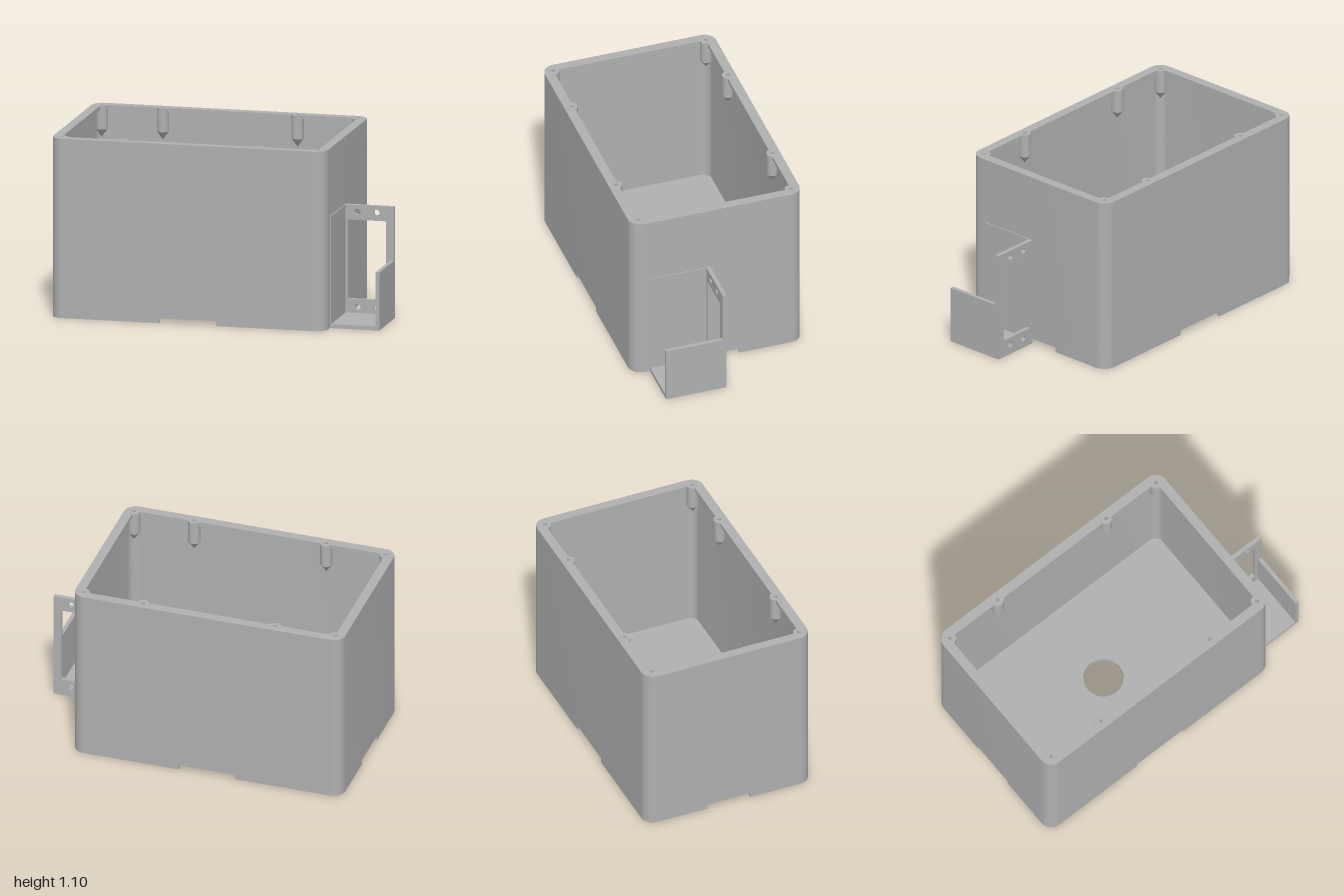
import * as THREE from 'three';
import { toCreasedNormals } from 'three/addons/utils/BufferGeometryUtils.js';

const CX = -0.1525, W = 0.8475, D = 0.54, H = 1.095, R = 0.075; // case centre, half sizes, height, corner radius
const A = 0.79, B = 0.482;                                     // half size of the top opening
const FOOT = 0.03, FLOOR = 0.08, LIP = 0.025, WALL = 0.03;
const BOSS = 0.037, SCREW = 0.012, INSET = 0.011;

const grey = new THREE.MeshStandardMaterial({ color: 0xb0b0b0 });
grey.name = 'plain grey';

function add(parent, name, geometry, x = 0, y = 0, z = 0) {
  const mesh = new THREE.Mesh(geometry, grey);
  mesh.name = name;
  mesh.position.set(x, y, z);
  parent.add(mesh);
  return mesh;
}

function box(parent, name, x0, x1, y0, y1, z0, z1) {
  return add(parent, name, new THREE.BoxGeometry(x1 - x0, y1 - y0, z1 - z0),
    (x0 + x1) / 2, (y0 + y1) / 2, (z0 + z1) / 2);
}

function roundedRect(path, w, d, r) {
  path.absarc(w - r, d - r, r, 0, Math.PI / 2);
  path.absarc(r - w, d - r, r, Math.PI / 2, Math.PI);
  path.absarc(r - w, r - d, r, Math.PI, Math.PI * 1.5);
  path.absarc(w - r, r - d, r, Math.PI * 1.5, Math.PI * 2);
  path.closePath();
  return path;
}

function circle(x, y, r) {
  return new THREE.Path().absarc(x, y, r, 0, Math.PI * 2, true);
}

function extrude(shape, depth) {
  const geometry = new THREE.ExtrudeGeometry(shape, { depth, bevelEnabled: false, curveSegments: 12 });
  return toCreasedNormals(geometry, 0.6);
}

// Horizontal slab with holes between two heights
function slab(parent, name, y0, y1, holes, shape = roundedRect(new THREE.Shape(), W, D, R)) {
  shape.holes.push(...holes);
  return add(parent, name, extrude(shape, y1 - y0).rotateX(-Math.PI / 2), CX, y0, 0);
}

// Opening of the lip, bulging inwards round each screw boss
function lipOpening() {
  const p = new THREE.Path(), q = Math.PI / 2, t = Math.asin(INSET / BOSS);
  p.absarc(A, B, BOSS, -q, -2 * q, true);
  for (const u of [0.415, -0.415]) p.absarc(u, B + INSET, BOSS, -t, t - Math.PI, true);
  p.absarc(-A, B, BOSS, 0, -q, true);
  p.absarc(-A, -B, BOSS, q, 0, true);
  for (const u of [-0.415, 0.415]) p.absarc(u, -B - INSET, BOSS, Math.PI - t, t, true);
  p.absarc(A, -B, BOSS, 2 * q, q, true);
  p.closePath();
  return p;
}

// One corner of the foot rim, running between two cable notches
function footCorner(sx, sz) {
  const t = 0.02, nx = 0.175, nz = 0.14, pts = [[W, nz]];
  const arc = (r, from, to) => {
    for (let i = 0; i <= 8; i++) {
      const a = from + (to - from) * i / 8;
      pts.push([W - R + r * Math.cos(a), D - R + r * Math.sin(a)]);
    }
  };
  arc(R, 0, Math.PI / 2);
  pts.push([nx, D], [nx, D - t]);
  arc(R - t, Math.PI / 2, 0);
  pts.push([W - t, nz]);
  return new THREE.Shape(pts.map(([x, z]) => new THREE.Vector2(sx * x, sz * z)));
}

export function createModel() {
  const model = new THREE.Group();
  model.name = 'enclosure';

  // Case: floor with stepped hole, thin walls, overhanging lip
  slab(model, 'floorUnderside', FOOT, FOOT + 0.015, [circle(0, 0, 0.145)]);
  slab(model, 'floor', FOOT + 0.015, FLOOR, [circle(0, 0, 0.12)]);
  slab(model, 'walls', FLOOR, H - LIP, [roundedRect(new THREE.Path(), W - WALL, D - WALL, R - WALL + 0.01)]);

  // Screw positions at the corners and along the long sides
  const screws = [];
  for (const sz of [-1, 1]) {
    for (const sx of [-1, 1]) screws.push([sx * A, sz * B], [sx * 0.415, sz * (B + INSET)]);
  }
  slab(model, 'lip', H - LIP, H, [lipOpening(), ...screws.map(([x, z]) => circle(x, z, SCREW))]);

  // Hollow screw bosses with pointed ends
  const profile = [[0, -0.17], [BOSS, -0.12], [BOSS, 0], [SCREW, 0], [SCREW, -0.1], [0, -0.1]]
    .map(([x, y]) => new THREE.Vector2(x, y));
  const bossGeometry = toCreasedNormals(new THREE.LatheGeometry(profile, 24), 0.5);
  for (const [x, z] of screws) add(model, 'screwBoss', bossGeometry, CX + x, H - LIP, z);

  // Foot rim and crossed ribs, interrupted by the cable notches
  for (const sx of [-1, 1]) {
    for (const sz of [-1, 1]) {
      slab(model, 'footRim', 0, FOOT, [], footCorner(sx, sz));
      const span = (a, b, s) => (s > 0 ? [a, b] : [-b, -a]);
      const [x0, x1] = span(0.175, W - 0.02, sx), [z0, z1] = span(0.14, D - 0.02, sz);
      box(model, 'longRib', CX + x0, CX + x1, 0, FOOT, sz * 0.28 - 0.01, sz * 0.28 + 0.01);
      box(model, 'crossRib', CX + sx * 0.46 - 0.01, CX + sx * 0.46 + 0.01, 0, FOOT, z0, z1);
    }
  }

  // Side bracket: drilled back plate with a window
  const bracket = new THREE.Group();
  bracket.name = 'sideBracket';
  model.add(bracket);
  const plate = new THREE.Shape([[0.695, 0], [1, 0], [1, 0.683], [0.695, 0.683]]
    .map(([x, y]) => new THREE.Vector2(x, y)));
  plate.holes.push(new THREE.Path([[0.717, 0.108], [0.717, 0.592], [0.952, 0.592], [0.952, 0.108]]
    .map(([x, y]) => new THREE.Vector2(x, y))));
  for (const x of [0.776, 0.892]) {
    for (const y of [0.06, 0.641]) plate.holes.push(circle(x, y, 0.018));
  }
  add(bracket, 'bracketPlate', extrude(plate, 0.026), 0, 0, 0.045);

  // Bracket floor, low outer wall and thin plate on the case
  box(bracket, 'bracketFloor', 0.695, 1, 0, 0.024, 0.071, 0.427);
  box(bracket, 'bracketOuterWall', 0.976, 1, 0.024, 0.354, 0.071, 0.427);
  box(bracket, 'bracketInnerWall', 0.69, 0.702, 0.024, 0.683, 0.071, 0.427);

  return model;
}
